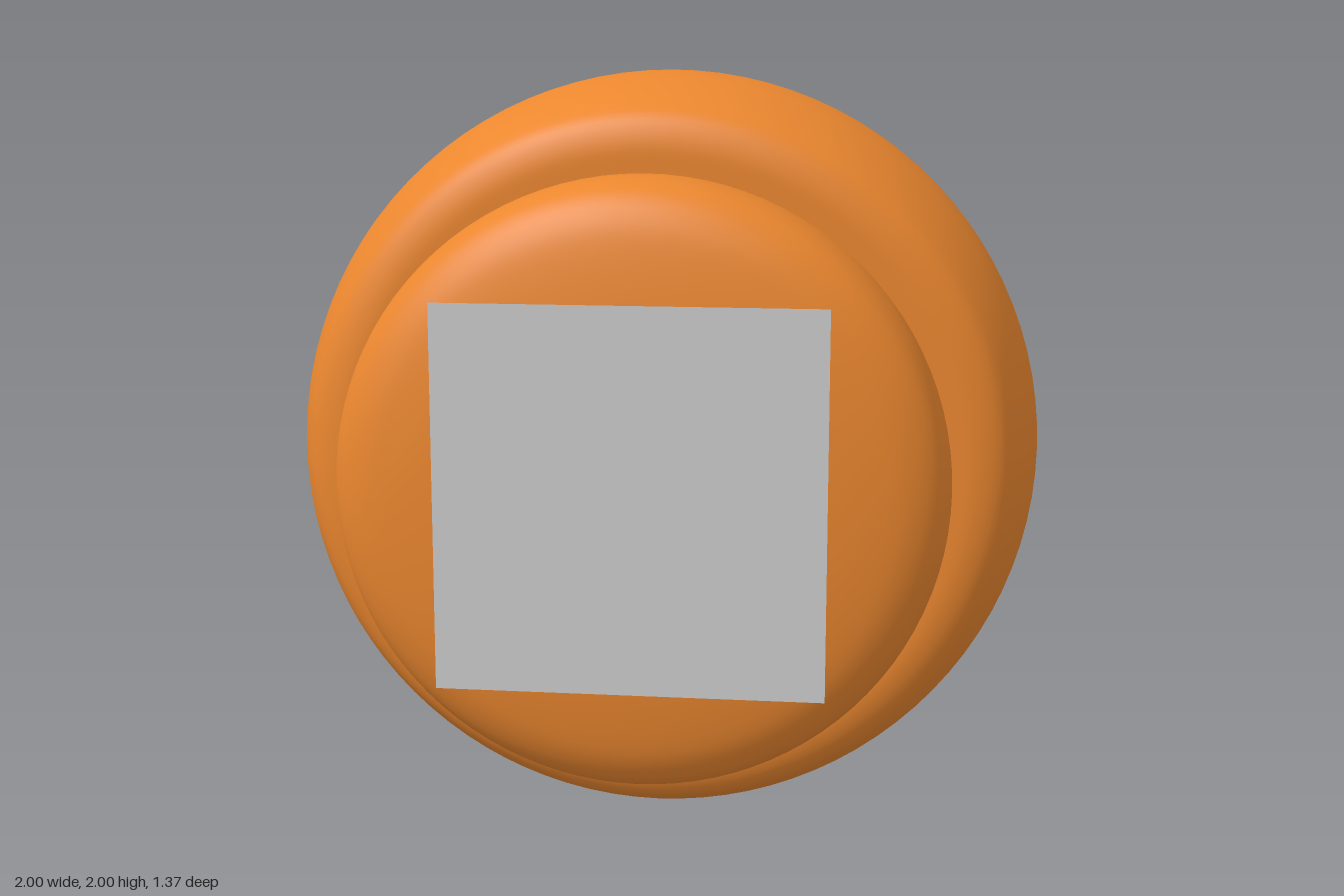
import * as THREE from 'three';

// Smooth turned part: [radius, z] points from back to front, spun around the z axis
function turned(name, points, material) {
  const curve = new THREE.SplineCurve(points.map(([r, z]) => new THREE.Vector2(r, z)));
  const profile = curve.getPoints(60);
  profile.forEach((p) => { p.x = Math.max(p.x, 0); });
  const geometry = new THREE.LatheGeometry(profile, 96);
  geometry.rotateX(Math.PI / 2);
  const mesh = new THREE.Mesh(geometry, material);
  mesh.name = name;
  mesh.position.y = 1;
  return mesh;
}

export function createModel() {
  const group = new THREE.Group();
  group.name = 'roundButton';
  const orange = new THREE.MeshStandardMaterial({ color: 0xeb872f });
  const grey = new THREE.MeshStandardMaterial({ color: 0xcccccc, side: THREE.DoubleSide });

  // Wide base with a bulging side, slightly domed back and flat front rim
  group.add(turned('base', [
    [0, -0.685], [0.3, -0.68], [0.6, -0.665], [0.8, -0.645], [0.88, -0.62], [0.925, -0.57],
    [0.96, -0.46], [0.99, -0.31], [1, -0.17], [0.99, -0.04], [0.96, 0.09],
    [0.925, 0.18], [0.89, 0.225], [0.83, 0.248], [0.76, 0.25], [0.68, 0.25],
  ], orange));

  // Smaller domed cap, narrowing where it meets the base
  group.add(turned('cap', [
    [0.73, 0.18], [0.745, 0.25], [0.76, 0.34], [0.767, 0.43], [0.76, 0.51],
    [0.735, 0.57], [0.68, 0.612], [0.6, 0.637], [0.45, 0.658], [0.22, 0.672], [0, 0.676],
  ], orange));

  // Thin square plate in front of the cap
  const plate = new THREE.Mesh(new THREE.PlaneGeometry(0.95, 0.95), grey);
  plate.name = 'facePlate';
  plate.position.set(0, 1.005, 0.687);
  group.add(plate);

  return group;
}
